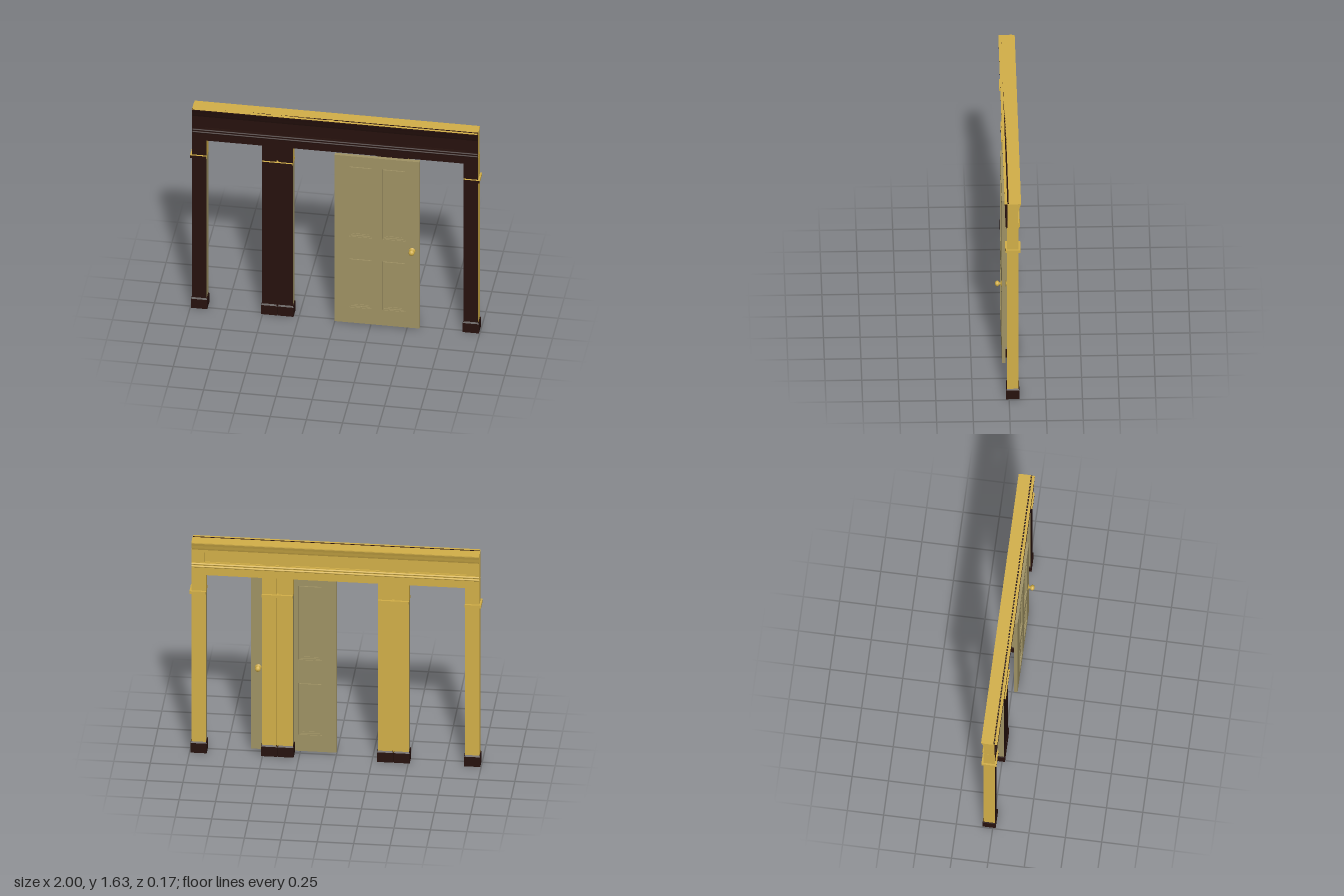
import * as THREE from 'three';

const mat = (color) => new THREE.MeshStandardMaterial({ color });
const gold = mat(0xd2af48), dark = mat(0x26110d), tan = mat(0x9f9264);

const FRONT = 0.012, BACK = -0.062, MID = (FRONT + BACK) / 2, DEPTH = FRONT - BACK;
const HALF = 0.985, TOP = 1.635, SOFFIT = 1.38;

function add(parent, name, geometry, material) {
  const mesh = new THREE.Mesh(geometry, material);
  mesh.name = name;
  parent.add(mesh);
  return mesh;
}

// Box given by its limits; the front is dark, the rest gold unless overridden
function box(parent, name, [x0, x1], [y0, y1], [z0, z1], faces = {}) {
  const m = ['px', 'nx', 'py', 'ny', 'pz', 'nz'].map((k) => faces[k] || faces.all || (k === 'pz' ? dark : gold));
  const mesh = add(parent, name, new THREE.BoxGeometry(x1 - x0, y1 - y0, z1 - z0), m);
  mesh.position.set((x0 + x1) / 2, (y0 + y1) / 2, (z0 + z1) / 2);
  return mesh;
}

// Rectangular plate with rectangular openings, each [x0, x1, y0, y1]
function plate([x0, x1, y0, y1], holes, z0, z1) {
  const rect = (T, a, b, c, d) =>
    new T([[a, c], [b, c], [b, d], [a, d]].map((p) => new THREE.Vector2(...p)));
  const shape = rect(THREE.Shape, x0, x1, y0, y1);
  for (const h of holes) shape.holes.push(rect(THREE.Path, ...h));
  return new THREE.ExtrudeGeometry(shape, { depth: z1 - z0, bevelEnabled: false }).translate(0, 0, z0);
}

// Cross-section of [z, y] points run along x
function moulding(points, length) {
  const shape = new THREE.Shape(points.map((p) => new THREE.Vector2(...p)));
  return new THREE.ExtrudeGeometry(shape, { depth: length, bevelEnabled: false })
    .rotateY(-Math.PI / 2).translate(length / 2, 0, 0);
}

// Plinth block with a chamfered top edge
function plinthGeometry(w, h, d, inset) {
  const g = new THREE.BoxGeometry(w, h, d, 1, 8, 1).toNonIndexed();
  const p = g.attributes.position;
  for (let i = 0; i < p.count; i++) {
    if (p.getY(i) > h / 2 - 1e-4) {
      p.setX(i, p.getX(i) - Math.sign(p.getX(i)) * inset);
      p.setZ(i, p.getZ(i) - Math.sign(p.getZ(i)) * inset);
    }
  }
  g.computeVertexNormals();
  return g.translate(0, h / 2, 0);
}

// Pillar with plinth and neck band; open = side (+1 / -1) that faces a doorway
function pillar(name, x0, x1, open) {
  const g = new THREE.Group();
  g.name = name;
  const z = [BACK - 0.001, FRONT + 0.001];
  const reveal = open > 0 ? { px: tan } : { nx: tan };
  box(g, 'shaft', [x0, x1], [0.04, 1.235], z, reveal);
  box(g, 'neck', [x0, x1], [1.235, 1.435], z);
  // the band and plinth project away from the doorway
  const out = 0.012;
  const bx = open > 0 ? [x0 - out, x1] : [x0, x1 + out];
  box(g, 'band', bx, [1.235, 1.256], [-0.078, 0.026]);
  const plinth = add(g, 'plinth', plinthGeometry(x1 - x0 + 0.012, 0.085, 0.09, 0.007), dark);
  plinth.position.set((x0 + x1) / 2, 0, MID);
  return g;
}

function lintel() {
  const g = new THREE.Group();
  g.name = 'lintel';
  const recess = 0.01;
  box(g, 'core', [-HALF, HALF], [SOFFIT, TOP], [BACK + recess, FRONT - recess], { ny: tan });

  // Pierced facings make the sunken frieze panels on both faces
  const y = [1.478, 1.553];
  const holes = [[-0.9, -0.5], [-0.412, -0.388], [-0.302, 0.302], [0.388, 0.412], [0.5, 0.9]]
    .map((x) => [...x, ...y]);
  const outline = [-HALF, HALF, SOFFIT, TOP];
  add(g, 'frontFacing', plate(outline, holes, FRONT - recess, FRONT), dark);
  add(g, 'backFacing', plate(outline, holes, BACK, BACK + recess), gold);
  box(g, 'soffit', [-0.89, 0.89], [SOFFIT - 0.002, SOFFIT], [BACK, FRONT], { ny: tan });
  for (const s of [-1, 1]) {
    const x = [s * HALF, s * (HALF + 0.002)].sort((a, b) => a - b);
    box(g, 'endCap', x, [SOFFIT, TOP], [BACK, FRONT], { pz: dark });
  }

  // Flared cornice and twin rolls, dark in front and gold behind
  for (const s of [1, -1]) {
    const m = s > 0 ? dark : gold, face = s > 0 ? FRONT : BACK;
    const profile = [[0, 1.572], [0.005, 1.585], [0.011, 1.607], [0.018, 1.627], [0.018, TOP - 0.002], [0, TOP - 0.002]]
      .map(([d, h]) => [face + s * d, h]);
    add(g, 'cornice', moulding(profile, 2 * HALF), m);
    for (const h of [1.446, 1.465]) {
      const roll = add(g, 'roll', new THREE.CylinderGeometry(0.008, 0.008, 2 * HALF, 10).rotateZ(Math.PI / 2), m);
      roll.position.set(0, h, face + s * 0.004);
    }
    const fillet = [[0, 1.43], [0.004, 1.43], [0.004, 1.474], [0, 1.474]].map(([d, h]) => [face + s * d, h]);
    add(g, 'fillet', moulding(fillet, 2 * HALF), m);
  }
  box(g, 'topBoard', [-HALF, HALF], [TOP - 0.002, TOP], [BACK - 0.02, FRONT + 0.018]);
  return g;
}

// Knob with rose and stem, turned about z
function knob(s) {
  const profile = [[0, 0], [0.022, 0], [0.022, 0.003], [0.016, 0.006], [0.008, 0.008], [0.008, 0.016],
    [0.014, 0.019], [0.019, 0.026], [0.02, 0.032], [0.017, 0.04], [0.01, 0.045], [0, 0.047]]
    .map((p) => new THREE.Vector2(...p));
  return new THREE.LatheGeometry(profile, 20).rotateX(s * Math.PI / 2);
}

function door() {
  const g = new THREE.Group();
  g.name = 'door';
  const z0 = 0.014, z1 = 0.04, zc = (z0 + z1) / 2;
  const panels = [];
  for (const x of [[0.1, 0.26], [0.33, 0.49]])
    for (const y of [[0.135, 0.535], [0.715, 1.29]]) panels.push([...x, ...y]);
  add(g, 'leaf', plate([0, 0.587, 0.01, 1.375], panels, z0, z1), tan);
  const inset = ([a, b, c, d], t) => [a + t, b - t, c + t, d - t];
  for (const p of panels) {
    // stepped bead around a sunken field, same on both faces
    add(g, 'panel', plate(p, [], zc - 0.004, zc + 0.004), tan);
    add(g, 'outerBead', plate(inset(p, 0.004), [inset(p, 0.013)], z0 - 0.002, z1 + 0.002), tan);
    add(g, 'innerBead', plate(inset(p, 0.013), [inset(p, 0.024)], z0 + 0.005, z1 - 0.005), tan);
  }
  for (const s of [1, -1]) {
    const k = add(g, s > 0 ? 'frontKnob' : 'backKnob', knob(s), gold);
    k.position.set(0.537, 0.645, s > 0 ? z1 : z0);
  }
  return g;
}

export function createModel() {
  const model = new THREE.Group();
  model.name = 'doorScreen';

  // Outer pillars and paired inner pillars, mirrored left and right
  for (const s of [-1, 1]) {
    const side = s > 0 ? 'left' : 'right';
    const span = (a, b) => (s > 0 ? [a, b] : [-b, -a]);
    model.add(pillar(side + 'OuterPillar', ...span(0.888, 0.988), -s));
    model.add(pillar(side + 'PairOuterPillar', ...span(0.406, 0.504), s));
    model.add(pillar(side + 'PairInnerPillar', ...span(0.292, 0.39), -s));
    box(model, side + 'PairFiller', span(0.389, 0.407), [0, 1.43], [BACK + 0.014, FRONT - 0.014]);
  }

  model.add(lintel(), door());
  return model;
}
